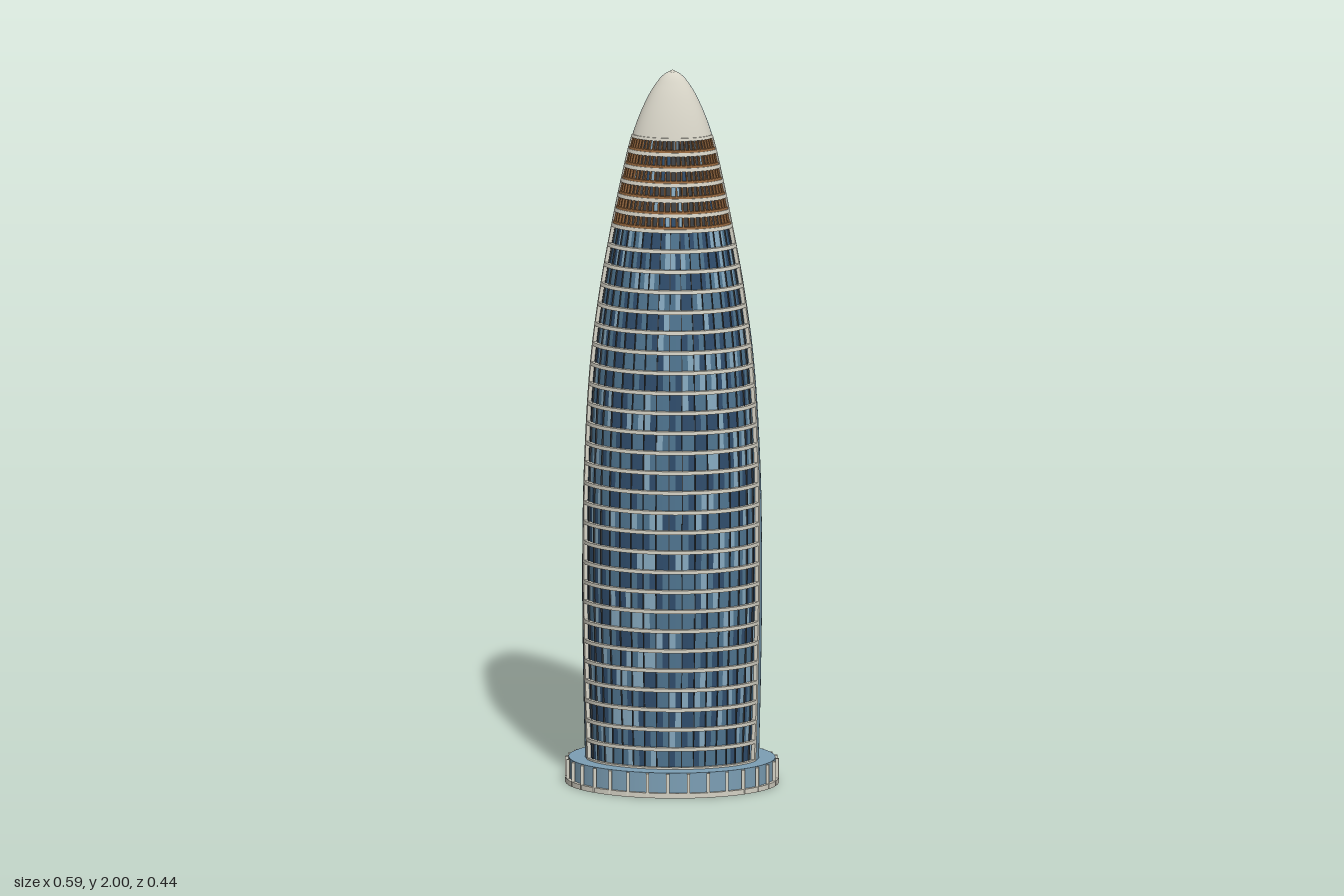
import * as THREE from 'three';

const mat = (name, color) => Object.assign(new THREE.MeshStandardMaterial({ color }), { name });
const DEG = Math.PI / 180;
const Y0 = 0.07, CROWN = 1.57, CAP = 1.82, TOP = 2;

// Tower profile: half width, centre z and half depth at each height
const heights = [0.07, 0.3, 0.6, 0.9, 1.2, 1.4, 1.57, 1.7, 1.82, 1.9, 1.96, 1.988, 2];
const sections = [
  0.24, 0, 0.165, 0.245, -0.005, 0.172, 0.248, -0.008, 0.178, 0.243, -0.011, 0.171,
  0.224, -0.013, 0.154, 0.197, -0.015, 0.13, 0.166, -0.016, 0.104, 0.139, -0.017, 0.083,
  0.11, -0.018, 0.062, 0.08, -0.024, 0.045, 0.047, -0.03, 0.026, 0.022, -0.033, 0.012, 0, -0.035, 0,
];
const profile = new THREE.CubicInterpolant(heights, sections, 3, new Float32Array(3));

// Point on the tower skin at height y, angle a (0 = left, 90 = front), pushed out by off
function skin(y, a, off = 0) {
  const [rx, zc, rz] = profile.evaluate(y);
  return [(rx + off) * Math.cos(a), y, zc + (rz + off) * Math.sin(a)];
}

// Angle where the back shell meets the glazed front
const seam = (y) => (16 - 5.5 * y) * DEG;
const frontAngle = (y, u) => seam(y) + u * (Math.PI - 2 * seam(y));

function geometry(pos, index) {
  const g = new THREE.BufferGeometry();
  g.setAttribute('position', new THREE.Float32BufferAttribute(pos, 3));
  if (index) g.setIndex(index);
  g.computeVertexNormals();
  return g;
}

// Smooth surface over angle (u) and height (v)
function surface(fn, nu, nv) {
  const pos = [], index = [];
  for (let j = 0; j <= nv; j++) for (let i = 0; i <= nu; i++) pos.push(...fn(i / nu, j / nv));
  for (let j = 0; j < nv; j++) {
    for (let i = 0; i < nu; i++) {
      const a = j * (nu + 1) + i, b = a + 1, c = a + nu + 1, d = c + 1;
      index.push(b, a, c, b, c, d);
    }
  }
  return geometry(pos, index);
}

const quad = (out, a, b, c, d) => out.push(...a, ...b, ...c, ...a, ...c, ...d);

// Curved block on the skin between two heights and two front fractions
function block(out, y0, y1, u0, u1, inner, outer, n = 1) {
  const p = (y, u, off) => skin(y, frontAngle(y, u), off);
  for (let i = 0; i < n; i++) {
    const a = u0 + (u1 - u0) * i / n, b = u0 + (u1 - u0) * (i + 1) / n;
    quad(out, p(y0, b, outer), p(y0, a, outer), p(y1, a, outer), p(y1, b, outer));
    quad(out, p(y1, b, outer), p(y1, a, outer), p(y1, a, inner), p(y1, b, inner));
    quad(out, p(y0, a, outer), p(y0, b, outer), p(y0, b, inner), p(y0, a, inner));
  }
  quad(out, p(y0, u0, outer), p(y0, u0, inner), p(y1, u0, inner), p(y1, u0, outer));
  quad(out, p(y0, u1, inner), p(y0, u1, outer), p(y1, u1, outer), p(y1, u1, inner));
}

export function createModel() {
  const group = new THREE.Group();
  group.name = 'tower';
  const m = {
    shell: mat('shell blue', 0x7c9fb5),
    cream: mat('pale stone', 0xd6d3c6),
    dark: mat('dark glass', 0x2f4c6b),
    mid: mat('mid glass', 0x4f748f),
    light: mat('light glass', 0x86a9bf),
    copper: mat('copper', 0x96683f),
    bronze: mat('bronze glass', 0x3c4044),
  };
  const add = (name, geo, material, parent = group) => {
    const mesh = new THREE.Mesh(geo, material);
    mesh.name = name;
    parent.add(mesh);
    return mesh;
  };
  let seed = 7;
  const rand = () => (seed = (seed * 16807) % 2147483647) / 2147483647;

  // Oval podium with a stone rim and posts
  const podium = new THREE.Group();
  podium.name = 'podium';
  group.add(podium);
  const oval = (name, rx, rz, y0, y1, material) => {
    const g = new THREE.CylinderGeometry(1, 1, y1 - y0, 64);
    g.scale(rx, 1, rz);
    add(name, g, material, podium).position.y = (y0 + y1) / 2;
  };
  oval('podiumSlab', 0.295, 0.222, 0, 0.014, m.cream);
  oval('podiumGlass', 0.285, 0.214, 0.014, Y0, m.shell);
  const postGeo = new THREE.BoxGeometry(0.009, 0.066, 0.009);
  for (let i = 0; i < 32; i++) {
    const a = i / 32 * Math.PI * 2;
    add('podiumPost', postGeo, m.cream, podium).position.set(0.29 * Math.cos(a), 0.035, 0.218 * Math.sin(a));
  }

  // Smooth back shell and pale front cap, both running to the tip
  const ease = (v, y0) => y0 + (TOP - y0) * (1 - (1 - v) ** 1.7);
  add('backShell', surface((u, v) => {
    const y = ease(v, Y0), s = seam(y);
    return skin(y, Math.PI - s + u * (Math.PI + 2 * s));
  }, 56, 64), m.shell);
  add('frontCap', surface((u, v) => {
    const y = ease(v, CAP);
    return skin(y, frontAngle(y, u));
  }, 40, 24), m.cream);
  const tip = add('tip', new THREE.SphereGeometry(0.007, 12, 8), m.cream);
  tip.position.set(0, 1.992, -0.033);

  // Floor levels: tall office floors, then shorter crown floors
  const levels = [];
  for (let i = 0; i < 27; i++) levels.push(Y0 + (CROWN - Y0) * i / 27);
  for (let i = 0; i <= 6; i++) levels.push(CROWN + (CAP - CROWN) * i / 6);

  const parts = { dark: [], mid: [], light: [], bronze: [], slab: [], mullion: [], crownPost: [], edge: [] };
  const COLS = 36;
  levels.forEach((y, f) => {
    const crown = y > CROWN - 0.001;
    // Floor slab edge
    block(parts.slab, y - 0.005, Math.min(y + 0.005, CAP + 0.003), 0, 1, -0.012, 0.003, COLS);
    if (f === levels.length - 1) return;
    const yt = levels[f + 1];
    // Glass panels in random tones
    for (let c = 0; c < COLS; c++) {
      const r = rand();
      const tone = crown ? (r < 0.78 ? 'bronze' : r < 0.9 ? 'dark' : 'light')
        : r < 0.36 ? 'dark' : r < 0.82 ? 'mid' : 'light';
      const p = (yy, u) => skin(yy, frontAngle(yy, u), -0.007);
      const a = c / COLS, b = (c + 1) / COLS;
      quad(parts[tone], p(y, b), p(y, a), p(yt, a), p(yt, b));
    }
    // Uprights: copper posts in the crown, slim bronze mullions below
    const n = crown ? 26 : 18, w = crown ? 0.005 : 0.0018;
    for (let c = 1; c < n; c++) {
      block(crown ? parts.crownPost : parts.mullion, y, yt, c / n - w, c / n + w, -0.009, crown ? 0 : -0.003);
    }
    // Copper rail above each crown slab
    if (crown) block(parts.crownPost, y + 0.005, y + 0.011, 0, 1, -0.009, 0.001, COLS);
    // Stone edge blocks along both seams
    for (const u of [0, 0.978]) block(parts.edge, y + 0.003, yt - 0.003, u, u + 0.022, -0.014, 0.003);
  });

  const facade = new THREE.Group();
  facade.name = 'frontFacade';
  group.add(facade);
  add('darkPanes', geometry(parts.dark), m.dark, facade);
  add('midPanes', geometry(parts.mid), m.mid, facade);
  add('lightPanes', geometry(parts.light), m.light, facade);
  add('crownPanes', geometry(parts.bronze), m.bronze, facade);
  add('floorSlabs', geometry(parts.slab), m.cream, facade);
  add('mullions', geometry(parts.mullion), m.bronze, facade);
  add('crownPosts', geometry(parts.crownPost), m.copper, facade);
  add('seamBlocks', geometry(parts.edge), m.cream, facade);
  return group;
}
